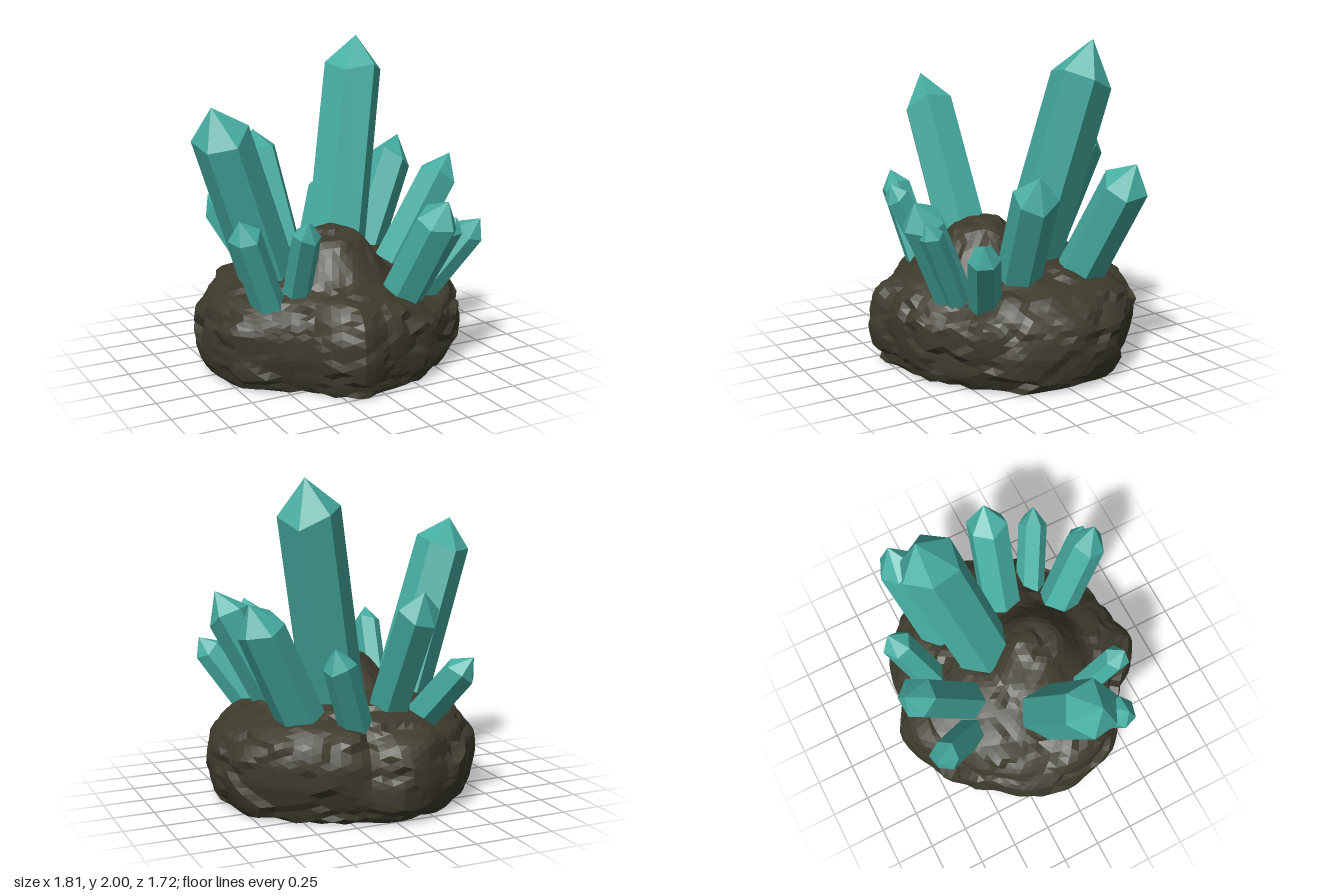
import * as THREE from 'three';

const crystalMaterial = new THREE.MeshStandardMaterial({ color: 0x46ada2 });
crystalMaterial.name = 'teal crystal';
const rockMaterial = new THREE.MeshStandardMaterial({ color: 0x3e3b2d });
rockMaterial.name = 'dark rock';

// Seeded random numbers
function seeded(seed) {
  let s = seed;
  return () => (s = (s * 16807) % 2147483647) / 2147483647;
}

// Outline radius of the rock at even angles, from +x towards +z
const OUTLINE = [
  0.9, 0.88, 0.88, 0.84, 0.81, 0.8, 0.81, 0.78, 0.8, 0.87, 0.82, 0.73, 0.74, 0.81, 0.86, 0.87,
  0.87, 0.84, 0.84, 0.81, 0.82, 0.84, 0.84, 0.86, 0.87, 0.8, 0.82, 0.83, 0.85, 0.86, 0.9, 0.9,
];

// Rock profile from top centre to bottom centre: [step, radius share, height]
const PROFILE = [
  [0, 0, 0.71], [0.15, 0.3, 0.67], [0.3, 0.62, 0.6], [0.38, 0.8, 0.55], [0.45, 0.93, 0.47],
  [0.52, 0.99, 0.36], [0.59, 0.99, 0.23], [0.66, 0.96, 0.1], [0.72, 0.91, 0.01], [1, 0, 0],
];

// Mounds and hollows on top: x, z, inner radius, outer radius, rise
const MOUNDS = [
  [-0.03, 0.16, 0.12, 0.36, 0.18],
  [0.4, 0.52, 0.08, 0.32, -0.07],
  [-0.56, 0.36, 0.05, 0.25, -0.04],
];

function outlineAt(angle) {
  const n = OUTLINE.length;
  const a = (angle / (Math.PI * 2)) * n + n;
  const i = Math.floor(a);
  return THREE.MathUtils.lerp(OUTLINE[i % n], OUTLINE[(i + 1) % n], a - i);
}

function profileAt(t) {
  let i = 1;
  while (i < PROFILE.length - 1 && PROFILE[i][0] < t) i++;
  const [a, b] = [PROFILE[i - 1], PROFILE[i]];
  const k = (t - a[0]) / (b[0] - a[0]);
  return [THREE.MathUtils.lerp(a[1], b[1], k), THREE.MathUtils.lerp(a[2], b[2], k)];
}

// Chipped rock: a sphere reshaped by outline and profile, broken into tilted facets
function makeRock() {
  const random = seeded(77);
  const chips = [];
  for (let i = 0; i < 150; i++) {
    const y = random() * 2 - 1, a = random() * Math.PI * 2, r = Math.sqrt(1 - y * y);
    chips.push({
      centre: new THREE.Vector3(r * Math.cos(a), y, r * Math.sin(a)),
      tilt: new THREE.Vector3(random() - 0.5, random() - 0.5, random() - 0.5).multiplyScalar(0.3),
      offset: (random() - 0.5) * 0.025,
    });
  }
  const geometry = new THREE.IcosahedronGeometry(1, 14);
  const pos = geometry.attributes.position;
  const d = new THREE.Vector3();
  for (let i = 0; i < pos.count; i++) {
    d.fromBufferAttribute(pos, i).normalize();
    const t = Math.acos(THREE.MathUtils.clamp(d.y, -1, 1)) / Math.PI;
    const [share, height] = profileAt(t);
    let chip = chips[0], nearest = 9;
    for (const c of chips) {
      const distance = c.centre.distanceTo(d);
      if (distance < nearest) [chip, nearest] = [c, distance];
    }
    const bump = chip.offset + chip.tilt.dot(d.clone().sub(chip.centre)) + 0.005 - nearest * 0.06;
    const angle = Math.atan2(d.z, d.x);
    const radius = share * outlineAt(angle) * (1 + bump);
    const x = radius * Math.cos(angle), z = radius * Math.sin(angle);
    let y = 0;
    if (t < 0.72) y = height + bump * 0.6 * THREE.MathUtils.smoothstep(height, 0.1, 0.5);
    if (t < 0.5) {
      for (const [mx, mz, inner, outer, rise] of MOUNDS) {
        y += rise * (1 - THREE.MathUtils.smoothstep(Math.hypot(x - mx, z - mz), inner, outer));
      }
    }
    pos.setXYZ(i, x, y, z);
  }
  geometry.computeVertexNormals();
  const rock = new THREE.Mesh(geometry, rockMaterial);
  rock.name = 'rockBase';
  return rock;
}

// Six-sided crystal from a root in the rock to a pointed tip
function makeCrystal([name, root, tip, radius, twist], index) {
  const start = new THREE.Vector3(...root), end = new THREE.Vector3(...tip);
  const axis = end.clone().sub(start).normalize();
  start.addScaledVector(axis, -0.09);
  const length = start.distanceTo(end);
  const shoulder = length - radius * 1.15;
  const profile = [[radius * 1.03, 0], [radius, shoulder], [0.0001, length]];
  let geometry = new THREE.LatheGeometry(profile.map(p => new THREE.Vector2(...p)), 6, twist);
  // Uneven shoulder corners
  const pos = geometry.attributes.position;
  for (let i = 0; i < pos.count; i++) {
    if (Math.abs(pos.getY(i) - shoulder) > 1e-4) continue;
    const angle = Math.atan2(pos.getZ(i), pos.getX(i));
    pos.setY(i, shoulder + radius * 0.2 * Math.sin(angle * 2 + index));
  }
  geometry = geometry.toNonIndexed();
  geometry.computeVertexNormals();
  const crystal = new THREE.Mesh(geometry, crystalMaterial);
  crystal.name = name;
  crystal.position.copy(start);
  crystal.quaternion.setFromUnitVectors(new THREE.Vector3(0, 1, 0), axis);
  return crystal;
}

// Name, root, tip, radius, twist
const CRYSTALS = [
  ['tallCrystal', [0.16, 0.75, -0.16], [0.42, 2.0, -0.39], 0.19, 0.3],
  ['rightTallCrystal', [-0.43, 0.62, 0.03], [-0.82, 1.69, 0.14], 0.175, 0.1],
  ['backCrystal', [-0.12, 0.67, -0.43], [-0.15, 1.36, -0.79], 0.13, 0.5],
  ['leftBackCrystal', [0.43, 0.58, -0.32], [0.79, 1.3, -0.46], 0.145, 0.1],
  ['leftCrystal', [0.41, 0.58, 0.12], [0.78, 1.29, 0.2], 0.135, 0.4],
  ['frontCrystal', [0.26, 0.5, 0.48], [0.39, 1.14, 0.79], 0.13, 0.2],
  ['frontTwinCrystal', [0.33, 0.5, 0.5], [0.47, 1.03, 0.76], 0.075, 0.7],
  ['leftFrontCrystal', [0.47, 0.47, 0.38], [0.78, 0.94, 0.56], 0.095, 0.6],
  ['rightFrontCrystal', [-0.55, 0.52, 0.3], [-0.77, 1.07, 0.4], 0.1, 0.3],
  ['rightFrontSmallCrystal', [-0.37, 0.6, 0.34], [-0.41, 1.06, 0.57], 0.085, 0.2],
  ['rightBackCrystal', [-0.33, 0.6, -0.51], [-0.49, 0.95, -0.77], 0.1, 0.5],
  ['leftBackSmallCrystal', [0.18, 0.6, -0.54], [0.36, 1.05, -0.69], 0.1, 0.1],
];

export function createModel() {
  const model = new THREE.Group();
  model.name = 'crystalCluster';
  model.add(makeRock());
  CRYSTALS.forEach((spec, i) => model.add(makeCrystal(spec, i)));
  return model;
}
